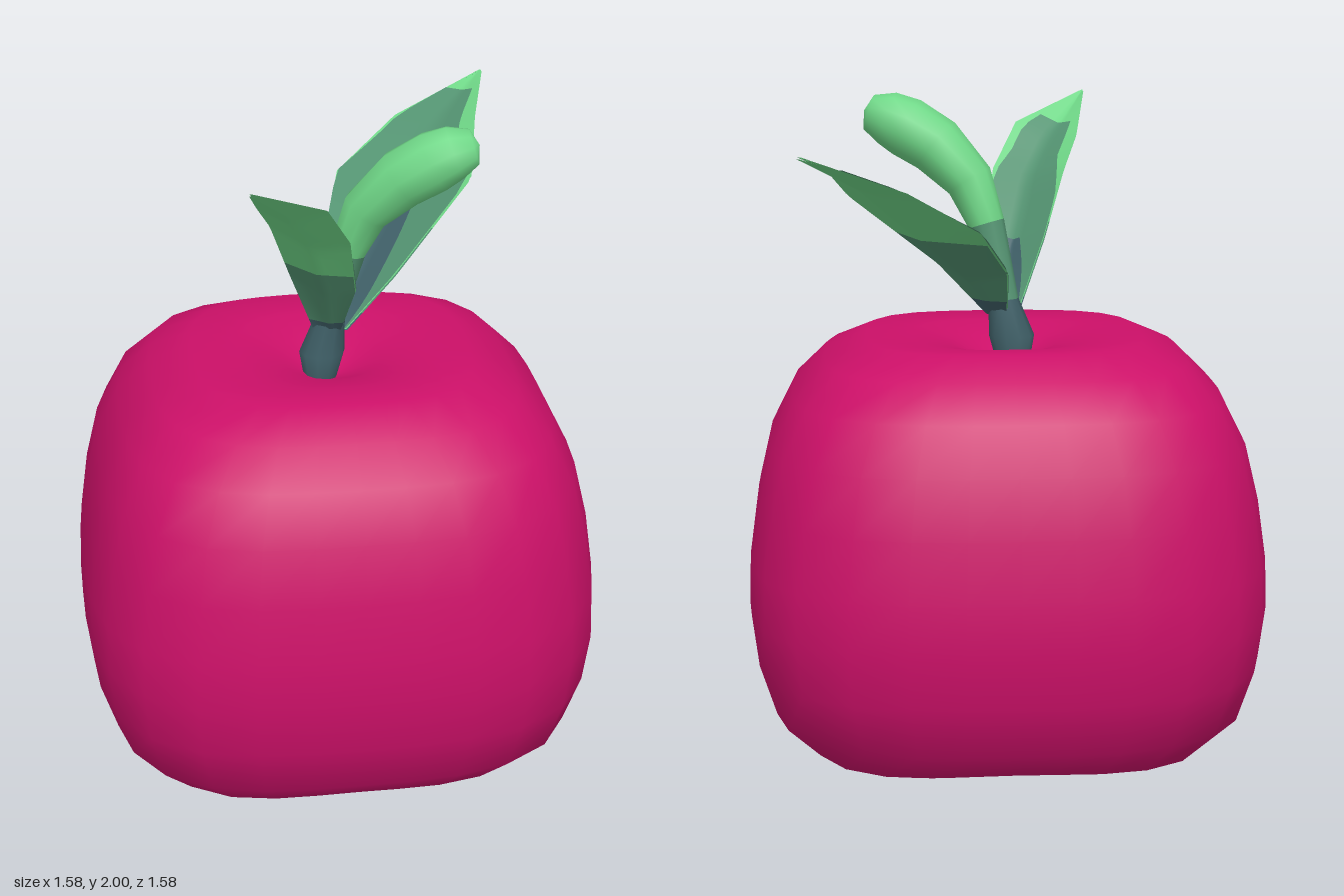
import * as THREE from 'three';

const V = (x, y, z) => new THREE.Vector3(x, y, z);
const material = (name, color, side = THREE.FrontSide) => {
  const m = new THREE.MeshStandardMaterial({ color, side });
  m.name = name;
  return m;
};

// Grid surface from rows of points; closed rows wrap round. groupRows = [[firstRow, materialIndex], ...]
function surface(rows, closed, groupRows) {
  const n = rows[0].length, cols = closed ? n : n - 1, index = [];
  for (let i = 0; i < rows.length - 1; i++) {
    for (let j = 0; j < cols; j++) {
      const a = i * n + j, b = i * n + (j + 1) % n, c = a + n, d = b + n;
      index.push(a, c, b, b, c, d);
    }
  }
  const g = new THREE.BufferGeometry().setFromPoints(rows.flat());
  g.setIndex(index);
  g.computeVertexNormals();
  if (groupRows) {
    groupRows.forEach(([row, mat], k) => {
      const end = k + 1 < groupRows.length ? groupRows[k + 1][0] : rows.length - 1;
      g.addGroup(row * cols * 6, (end - row) * cols * 6, mat);
    });
  }
  return g;
}

// Squarish fruit: half-width, height and squareness of each ring from bottom to top
function fruitGeometry() {
  const profile = [
    [0.001, 0.10, 2], [0.15, 0.085, 2.2], [0.3, 0.04, 2.8], [0.4, 0.01, 3.2], [0.49, 0.003, 3.3],
    [0.62, 0.055, 3.3], [0.72, 0.16, 3.3], [0.77, 0.32, 3.3], [0.79, 0.48, 3.3], [0.785, 0.63, 3.3],
    [0.76, 0.81, 3.3], [0.72, 0.98, 3.3], [0.65, 1.12, 3.3], [0.55, 1.22, 3.3], [0.42, 1.28, 3.2],
    [0.28, 1.272, 2.8], [0.16, 1.245, 2.2], [0.08, 1.2, 2], [0.001, 1.18, 2],
  ];
  const rows = profile.map(([w, y, n]) => Array.from({ length: 32 }, (_, j) => {
    const a = j / 32 * Math.PI * 2, c = Math.cos(a), s = Math.sin(a);
    const r = w / Math.pow(Math.abs(c) ** n + Math.abs(s) ** n, 1 / n);
    const lift = 0.018 * Math.cos(2 * a) ** 2 * Math.max(0, 1 - y / 0.15); // raised between the feet
    return V(r * c, y + lift, r * s);
  }));
  return surface(rows, true);
}

// Bent stem: x, y, z and radius along its path
function stemGeometry() {
  const path = [
    [-0.03, 1.18, 0, 0.05], [-0.025, 1.27, 0, 0.07], [0.0, 1.385, 0, 0.046], [0.05, 1.61, 0.035, 0.056],
    [0.1, 1.74, 0.055, 0.074], [0.2, 1.845, 0.09, 0.09], [0.29, 1.9, 0.112, 0.093], [0.35, 1.928, 0.12, 0.082],
    [0.405, 1.945, 0.127, 0.055], [0.42, 1.95, 0.129, 0.001],
  ];
  const centres = path.map(([x, y, z]) => V(x, y, z));
  const rows = path.map(([, , , r], i) => {
    const t = centres[Math.min(i + 1, path.length - 1)].clone().sub(centres[Math.max(i - 1, 0)]).normalize();
    if (i < 3) t.set(0, 1, 0);
    const e2 = V(0, 0, 1).addScaledVector(t, -t.z).normalize();
    const e1 = t.clone().cross(e2);
    return Array.from({ length: 10 }, (_, j) => {
      const a = j / 10 * Math.PI * 2;
      return centres[i].clone().addScaledVector(e1, r * Math.cos(a)).addScaledVector(e2, r * Math.sin(a));
    });
  });
  return surface(rows, true, [[0, 0], [2, 1], [3, 2]]);
}

// Leaf from five stations of left edge, midrib and right edge, with painted bands
function makeLeaf(name, stations, paint, [dark, mid, light]) {
  const leaf = new THREE.Group();
  leaf.name = name;
  const st = stations.map((row) => row.map((p) => V(...p)));
  const up = st[2][2].clone().sub(st[2][0]).cross(st[4][1].clone().sub(st[0][1])).normalize();
  if (up.y < 0) up.negate();
  const at = (s, t) => { // s runs base to tip 0..4, t runs left to right -1..1
    const i = Math.min(3, Math.floor(s)), f = s - i;
    const [l, m, r] = [0, 1, 2].map((k) => st[i][k].clone().lerp(st[i + 1][k], f));
    return m.lerp(t < 0 ? l : r, Math.abs(t));
  };
  const sAtHeight = (y, t) => {
    let lo = 0, hi = 4;
    for (let k = 0; k < 24; k++) {
      const h = (lo + hi) / 2;
      if (at(h, t).y < y) lo = h; else hi = h;
    }
    return lo;
  };
  const add = (part, mat, offset, map) => {
    const rows = [];
    for (let i = 0; i <= 16; i++) {
      rows.push(Array.from({ length: 9 }, (_, j) => {
        const [s, t] = map(i / 16, j / 4 - 1);
        return at(s, t).addScaledVector(up, offset);
      }));
    }
    const mesh = new THREE.Mesh(surface(rows, false), mat);
    mesh.name = part;
    leaf.add(mesh);
  };
  // upper face with its two inner bands
  add('leafTop', light, 0, (u, v) => [u * 4, v]);
  add('leafMiddleBand', mid, 0.004, (u, v) => {
    const s = u * paint.midEnd, k = Math.max(0, (s - paint.rimStart) / (paint.midEnd - paint.rimStart));
    const [l, r] = paint.rim;
    const left = -1 + l * Math.min(1, k * 2), right = 1 - r * Math.min(1, k * 2);
    return [s, left + (right - left) * (v + 1) / 2];
  });
  add('leafDarkStreak', dark, 0.008, (u, v) => [u * paint.darkEnd, v * (0.95 - 0.75 * u)]);
  // underside, banded by height
  const cuts = [() => 0, (t) => sAtHeight(1.39, t), (t) => sAtHeight(1.61, t), () => 4];
  [dark, mid, light].forEach((mat, k) => add('leafUnderside', mat, -0.006, (u, v) => {
    const a = cuts[k](v), b = cuts[k + 1](v);
    return [a + (b - a) * u, v];
  }));
  return leaf;
}

export function createModel() {
  const model = new THREE.Group();
  model.name = 'cubeFruit';
  const skin = material('magentaSkin', 0xcc1068);
  const greens = [
    material('darkTeal', 0x41626a, THREE.DoubleSide),
    material('middleGreen', 0x549472, THREE.DoubleSide),
    material('lightGreen', 0x70d888, THREE.DoubleSide),
  ];

  const fruit = new THREE.Mesh(fruitGeometry(), skin);
  fruit.name = 'fruit';
  const stem = new THREE.Mesh(stemGeometry(), greens);
  stem.name = 'stem';

  const bigLeaf = makeLeaf('bigLeaf', [
    [[-0.01, 1.34, -0.03], [0.01, 1.33, -0.01], [0.05, 1.34, 0.01]],
    [[0.0, 1.49, -0.2], [0.11, 1.46, -0.12], [0.2, 1.5, -0.01]],
    [[0.1, 1.65, -0.54], [0.3, 1.65, -0.38], [0.47, 1.73, -0.21]],
    [[0.31, 1.78, -0.68], [0.43, 1.78, -0.58], [0.53, 1.83, -0.48]],
    [[0.6, 1.89, -0.77], [0.605, 1.89, -0.775], [0.61, 1.89, -0.77]],
  ], { midEnd: 3.6, rimStart: 1.9, rim: [0.08, 0.35], darkEnd: 2.1 }, greens);

  const smallLeaf = makeLeaf('smallLeaf', [
    [[-0.05, 1.35, 0.01], [0, 1.34, 0.03], [0.03, 1.35, 0.03]],
    [[-0.13, 1.56, 0.07], [-0.04, 1.52, 0.15], [0.05, 1.54, 0.19]],
    [[-0.2, 1.76, 0.19], [-0.1, 1.72, 0.28], [0.01, 1.75, 0.34]],
    [[-0.25, 1.86, 0.3], [-0.17, 1.84, 0.38], [-0.07, 1.89, 0.44]],
    [[-0.295, 1.985, 0.53], [-0.295, 1.985, 0.535], [-0.29, 1.985, 0.535]],
  ], { midEnd: 3.3, rimStart: 1.6, rim: [0.35, 0.25], darkEnd: 1.1 }, greens);

  model.add(fruit, stem, bigLeaf, smallLeaf);
  return model;
}
